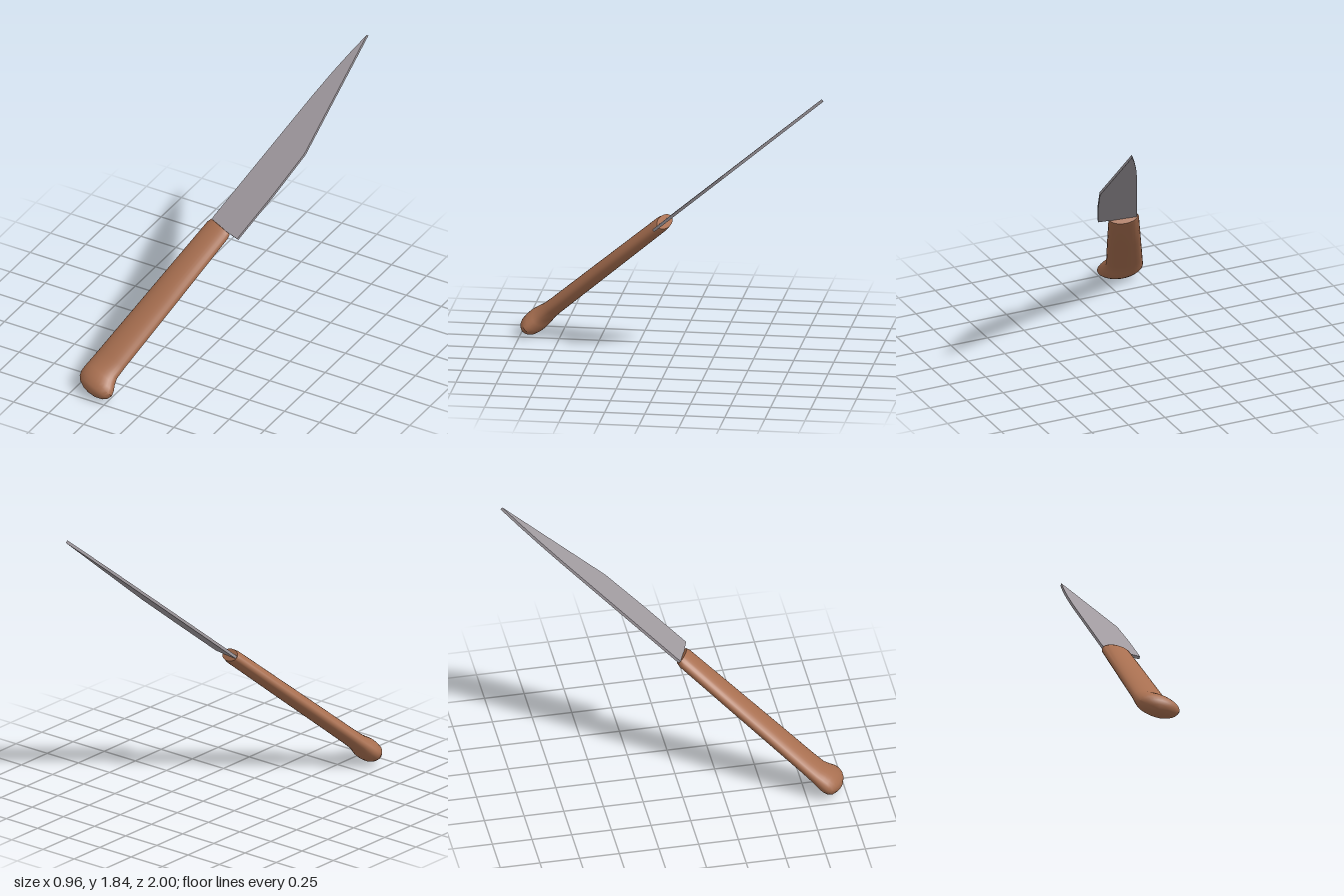
import * as THREE from 'three';
import { toCreasedNormals } from 'three/addons/utils/BufferGeometryUtils.js';

// Loft of elliptical sections along y: [y, xMin, xMax, halfThickness]
function loft(sections, sides = 28) {
  const pos = [], index = [];
  for (const [y, x0, x1, t] of sections) {
    for (let i = 0; i < sides; i++) {
      const a = (i / sides) * Math.PI * 2;
      pos.push((x0 + x1) / 2 + ((x1 - x0) / 2) * Math.cos(a), y, t * Math.sin(a));
    }
  }
  for (let j = 0; j < sections.length - 1; j++) {
    for (let i = 0; i < sides; i++) {
      const a = j * sides + i, b = j * sides + ((i + 1) % sides);
      index.push(a, a + sides, b, b, a + sides, b + sides);
    }
  }
  const g = new THREE.BufferGeometry();
  g.setAttribute('position', new THREE.Float32BufferAttribute(pos, 3));
  g.setIndex(index);
  return toCreasedNormals(g, 0.6);
}

export function createModel() {
  const model = new THREE.Group();
  model.name = 'knife';

  // Blade: flat plate with a gently curved spine, angled belly and square heel
  const outline = [
    [0.03, -0.1], [0.15, -0.1], [0.15, -0.03], [0.245, -0.022],
    [0.237, 0.33], [0.219, 0.647], [0, 1.459],
    [-0.011, 1.32], [-0.018, 1.15], [-0.019, 0.95], [-0.012, 0.6],
    [0, 0], [0.005, -0.035], [0.03, -0.035],
  ].map(([x, y]) => new THREE.Vector2(x, y));
  const depth = 0.018;
  const bladeGeometry = new THREE.ExtrudeGeometry(new THREE.Shape(outline), { depth, bevelEnabled: false });
  bladeGeometry.translate(0, 0, -depth / 2);
  const blade = new THREE.Mesh(bladeGeometry, new THREE.MeshStandardMaterial({ color: 0xa09a9f }));
  blade.name = 'blade';

  // Handle: oval grip, straight along the spine, flaring into a rounded butt
  const handle = new THREE.Mesh(loft([
    [-1.34, 0.13, 0.13, 0],
    [-1.335, 0.085, 0.185, 0.03],
    [-1.318, 0.035, 0.236, 0.053],
    [-1.295, 0.006, 0.264, 0.065],
    [-1.265, -0.008, 0.276, 0.069],
    [-1.235, -0.011, 0.265, 0.069],
    [-1.2, -0.011, 0.24, 0.063],
    [-1.16, -0.011, 0.221, 0.055],
    [-1.08, -0.011, 0.216, 0.052],
    [-0.6, -0.011, 0.2, 0.05],
    [-0.06, -0.011, 0.18, 0.047],
    [-0.03, -0.003, 0.172, 0.041],
    [-0.028, 0.085, 0.085, 0],
  ]), new THREE.MeshStandardMaterial({ color: 0xa86f50 }));
  handle.name = 'handle';

  // Lay the knife along its slanted axis
  const knife = new THREE.Group();
  knife.name = 'slantedKnife';
  const along = new THREE.Vector3(0.35, 0.64, -0.685).normalize();
  const across = new THREE.Vector3(0.926, -0.13, 0.351);
  const normal = across.clone().cross(along).normalize();
  across.crossVectors(along, normal);
  knife.quaternion.setFromRotationMatrix(new THREE.Matrix4().makeBasis(across, along, normal));
  knife.position.set(-0.035, 0.92, 0);
  knife.add(blade, handle);
  model.add(knife);
  return model;
}
